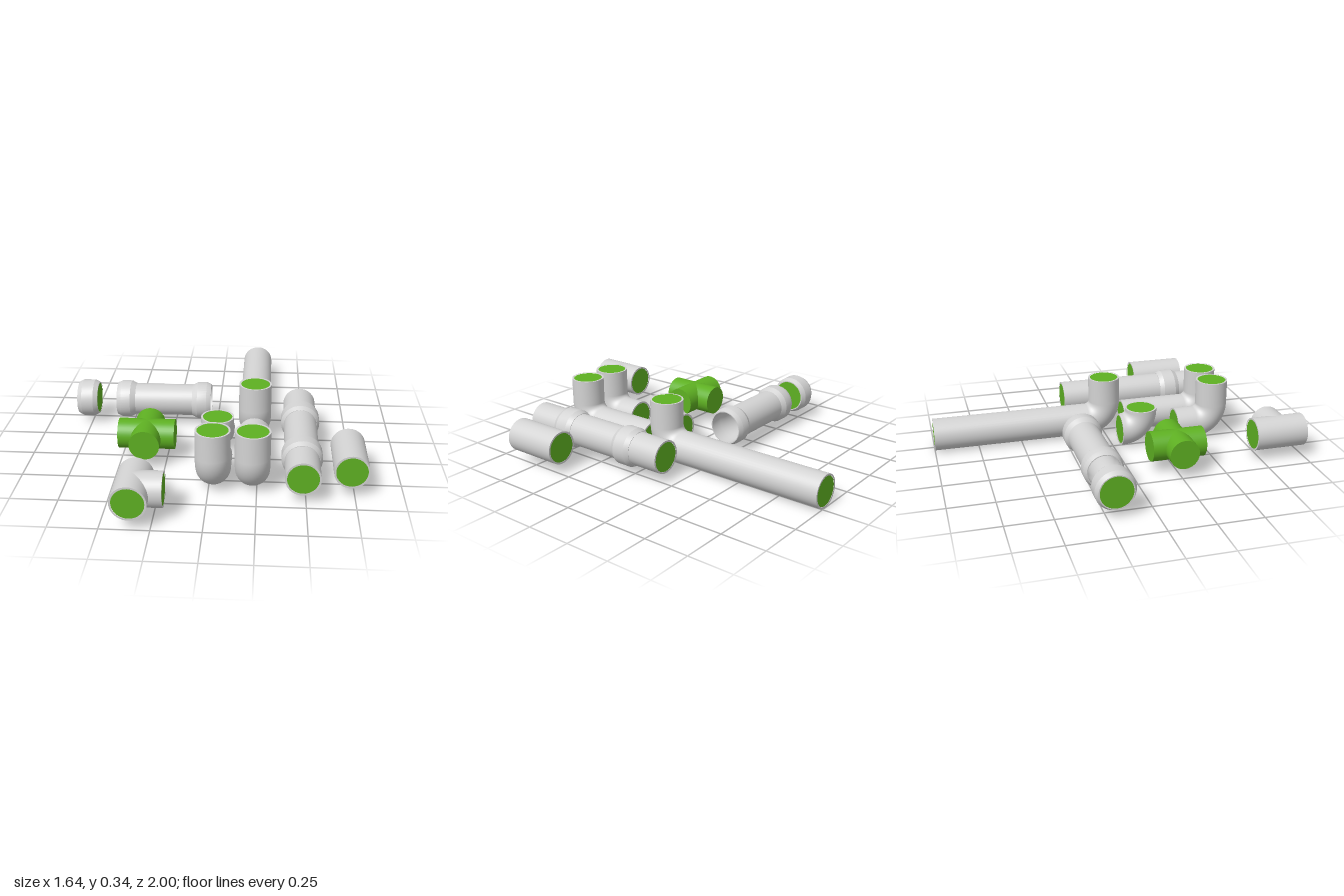
import * as THREE from 'three';
import { toCreasedNormals } from 'three/addons/utils/BufferGeometryUtils.js';

const R = 0.091;      // pipe outer radius
const BORE = 0.081;   // pipe inner radius
const COLLAR = 0.107; // collar outer radius
const BEND = 0.11;    // elbow centreline radius
const Y = 0.143;      // axis height of the raised fittings
const SIDES = 40;

export function createModel() {
  const model = new THREE.Group();
  const grey = new THREE.MeshStandardMaterial({ color: 0xd3d3d3 });
  grey.name = 'grey plastic';
  const green = new THREE.MeshStandardMaterial({ color: 0x5eb022 });
  green.name = 'green core';

  const V = (x, y, z) => new THREE.Vector3(x, y, z);
  const UP = V(0, 1, 0);

  function group(name) {
    const g = new THREE.Group();
    g.name = name;
    model.add(g);
    return g;
  }

  // Place a y-aligned geometry so its middle lies between two points
  function span(parent, name, geometry, material, a, b) {
    const mesh = new THREE.Mesh(geometry, material);
    mesh.name = name;
    mesh.position.copy(a).add(b).multiplyScalar(0.5);
    mesh.quaternion.setFromUnitVectors(UP, b.clone().sub(a).normalize());
    parent.add(mesh);
  }

  // Turned part from [radius, height] pairs, with crisp edges
  function turned(profile) {
    const points = profile.map(([r, h]) => new THREE.Vector2(r, h));
    return toCreasedNormals(new THREE.LatheGeometry(points, SIDES), 0.45);
  }

  // Solid core, sitting just inside the pipe ends
  function core(parent, a, b, radius, inset = 0.002) {
    const length = a.distanceTo(b) - 2 * inset;
    span(parent, 'core', new THREE.CylinderGeometry(radius, radius, length, SIDES), green, a, b);
  }

  // Straight pipe with a rim at each end, filled by a core
  function pipe(parent, a, b) {
    const h = a.distanceTo(b) / 2;
    span(parent, 'pipe', turned([[BORE, -h], [R, -h], [R, h], [BORE, h]]), grey, a, b);
    core(parent, a, b, BORE);
  }

  // Chamfered ring
  function collar(parent, a, b, inner) {
    const h = a.distanceTo(b) / 2;
    const c = 0.026;
    span(parent, 'collar', turned([
      [inner, -h], [0.093, -h], [COLLAR, c - h], [COLLAR, h - c], [0.093, h], [inner, h],
    ]), grey, a, b);
  }

  // Elbow: upright leg, quarter bend and a leg running to the back
  function elbow(name, x, z, top, back) {
    const g = group(name);
    pipe(g, V(x, R + BEND, z), V(x, top, z));
    pipe(g, V(x, R, back), V(x, R, z - BEND));
    const bend = new THREE.TorusGeometry(BEND, R, SIDES, 16, Math.PI / 2);
    bend.rotateZ(-Math.PI / 2).rotateY(-Math.PI / 2);
    const mesh = new THREE.Mesh(bend, grey);
    mesh.name = 'bend';
    mesh.position.set(x, R + BEND, z - BEND);
    g.add(mesh);
  }

  elbow('longElbow', 0.226, 0.003, 0.345, -1);
  elbow('mediumElbow', 0.226, 0.6, 0.345, 0.11);
  elbow('shortElbow', 0.023, 0.6, 0.345, 0.375);
  elbow('tightElbow', 0.023, 0.17, 0.216, 0.044);

  // Short straight pipe
  pipe(group('shortPipe'), V(0.728, Y, 0.315), V(0.728, Y, 0.63));

  // Long pipe joined by two collars
  const joined = group('joinedPipe');
  pipe(joined, V(0.481, Y, -0.198), V(0.481, Y, 0.716));
  for (const z of [-0.018, 0.412]) {
    collar(joined, V(0.481, Y, z), V(0.481, Y, z + 0.122), 0.088);
  }

  // Tee with its branch to the model's left
  const tee = group('tee');
  pipe(tee, V(-0.352, Y, 0.706), V(-0.352, Y, 1));
  pipe(tee, V(-0.352, Y, 0.852), V(-0.198, Y, 0.852));

  // Bare four-way cross
  const cross = group('cross');
  core(cross, V(-0.51, Y, 0.256), V(-0.204, Y, 0.256), 0.082, 0);
  core(cross, V(-0.357, Y, 0.106), V(-0.357, Y, 0.406), 0.082, 0);

  // Loose collar filled by a core
  const loose = group('looseCollar');
  collar(loose, V(-0.823, Y, -0.203), V(-0.704, Y, -0.203), 0.087);
  core(loose, V(-0.823, Y, -0.203), V(-0.704, Y, -0.203), 0.087);

  // Open sleeve with a bell at each end: outside half, then bore half
  const outer = [[0.095, 0.277], [COLLAR, 0.251], [COLLAR, 0.197], [R, 0.167]];
  const inner = [[BORE, 0.167], [0.09, 0.197], [0.09, 0.277]];
  const flip = (list) => list.map(([r, h]) => [r, -h]);
  const sleeve = turned([
    ...flip(outer), ...outer.slice().reverse(), ...inner.slice().reverse(), ...flip(inner), [0.095, -0.277],
  ]);
  span(group('openSleeve'), 'sleeve', sleeve, grey, V(-0.59, Y, -0.203), V(-0.036, Y, -0.203));

  return model;
}
